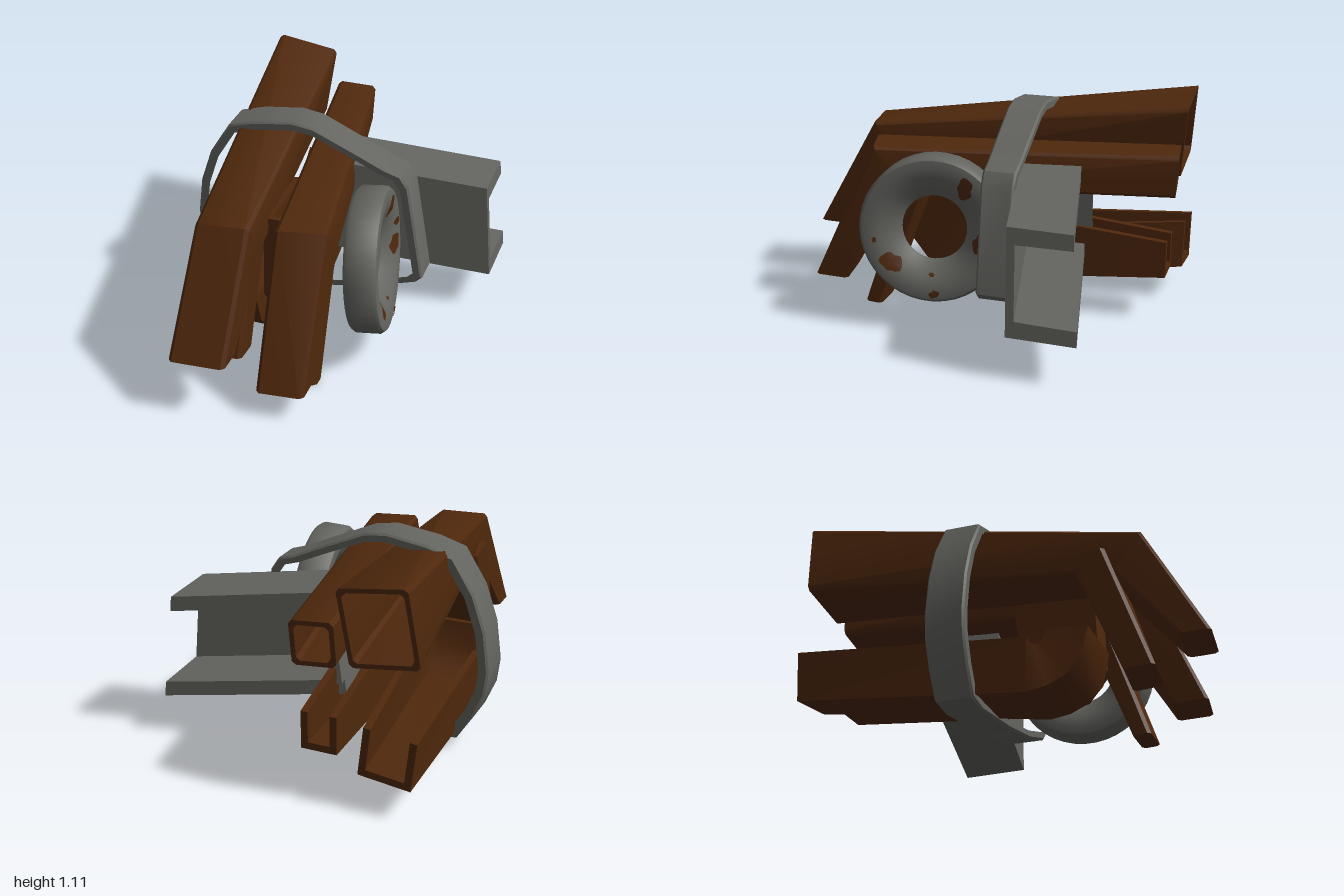
import * as THREE from 'three';
import { toCreasedNormals } from 'three/addons/utils/BufferGeometryUtils.js';

const rust = new THREE.MeshStandardMaterial({ color: 0x4f280c });
rust.name = 'rust brown';
const steel = new THREE.MeshStandardMaterial({ color: 0x646560 });
steel.name = 'steel grey';

// Cross-sections, listed counter-clockwise
const bar = (w, h, c = 0.018) => {
  const a = w / 2, b = h / 2;
  return [[a, -b + c], [a, b - c], [a - c, b], [-a + c, b], [-a, b - c], [-a, -b + c], [-a + c, -b], [a - c, -b]];
};
const channel = (w, h, t = 0.035) => {
  const a = w / 2, i = a - t;
  return [[-a, 0], [a, 0], [a, h], [i, h], [i, t], [-i, t], [-i, h], [-a, h]];
};

// Places a section at p = [x, y, z], pitched about x, rolled about z and sheared by yaw
function ring(section, p, pitch = 0, roll = 0, yaw = 0) {
  const side = new THREE.Vector3(Math.cos(roll), Math.sin(roll), yaw);
  const up = new THREE.Vector3(-Math.sin(roll), Math.cos(roll) * Math.cos(pitch), Math.cos(roll) * Math.sin(pitch));
  return {
    section,
    points: section.map(([u, v]) => new THREE.Vector3(...p).addScaledVector(side, u).addScaledVector(up, v)),
  };
}

// Skins the rings from back to front and caps both ends
function loft(rings) {
  const n = rings[0].points.length, pos = [], index = [];
  rings.forEach((r) => r.points.forEach((p) => pos.push(p.x, p.y, p.z)));
  for (let i = 0; i < rings.length - 1; i++) {
    for (let j = 0; j < n; j++) {
      const a = i * n + j, b = i * n + (j + 1) % n;
      index.push(a, b, a + n, b, b + n, a + n);
    }
  }
  const caps = THREE.ShapeUtils.triangulateShape(rings[0].section.map((s) => new THREE.Vector2(...s)), []);
  const last = (rings.length - 1) * n;
  caps.forEach(([a, b, c]) => index.push(a, c, b, last + a, last + b, last + c));
  const geo = new THREE.BufferGeometry();
  geo.setAttribute('position', new THREE.Float32BufferAttribute(pos, 3));
  geo.setIndex(index);
  return toCreasedNormals(geo, 0.65);
}

// Bent tube, open at the back: stations are { p, w, h, pitch, roll, yaw }
function finger(stations) {
  const [back, bend] = stations, wall = 0.045;
  const place = (s, gap) => ring(bar(s.w - gap, s.h - gap), s.p, s.pitch, s.roll, s.yaw);
  return loft([place(bend, wall), place(back, wall), ...stations.map((s) => place(s, 0))]);
}

export function createModel() {
  const model = new THREE.Group();
  const add = (name, geo, mat, parent = model) => {
    const mesh = new THREE.Mesh(geo, mat);
    mesh.name = name;
    parent.add(mesh);
    return mesh;
  };

  // Upper bent tubes
  add('largeBentTube', finger([
    { p: [-0.505, 0.91, -0.98], w: 0.34, h: 0.385, pitch: -0.08, roll: -0.14 },
    { p: [-0.3, 0.805, 0.59], w: 0.26, h: 0.25, pitch: 0.62, yaw: -0.13 },
    { p: [-0.32, 0.315, 0.915], w: 0.28, h: 0.15, pitch: 1.55, yaw: -0.09 },
  ]), rust);
  add('smallBentTube', finger([
    { p: [-0.19, 0.785, -0.98], w: 0.21, h: 0.22, pitch: -0.05, roll: -0.05, yaw: -0.1 },
    { p: [0.05, 0.78, 0.465], w: 0.24, h: 0.26, pitch: 0.7, yaw: -0.25 },
    { p: [0.055, 0.145, 0.785], w: 0.235, h: 0.18, pitch: 1.55, yaw: -0.12 },
  ]), rust);

  // Straight bars tucked behind the bent ends
  add('largeInnerBar', loft([
    ring(bar(0.29, 0.18), [-0.345, 0.8, 0.42], 1.4),
    ring(bar(0.27, 0.15), [-0.345, 0.17, 0.65], 1.5, 0, -0.1),
  ]), rust);
  add('smallInnerBar', loft([
    ring(bar(0.19, 0.12), [0.04, 0.75, 0.28], 1.3),
    ring(bar(0.19, 0.09), [0.045, 0.01, 0.55], 1.5),
  ]), rust);

  // Lower open channels that curl up at the front
  add('largeLowerChannel', loft([
    ring(channel(0.26, 0.245), [-0.54, 0.17, -0.99], 0, 0.12),
    ring(channel(0.36, 0.28), [-0.41, 0.07, 0.15], 0),
    ring(channel(0.36, 0.27), [-0.41, 0.085, 0.25], -0.35),
    ring(channel(0.36, 0.25), [-0.405, 0.13, 0.345], -0.75),
    ring(channel(0.36, 0.22), [-0.4, 0.21, 0.415], -1.1),
    ring(channel(0.34, 0.2), [-0.4, 0.37, 0.45], -1.5),
  ]), rust);
  add('smallLowerChannel', loft([
    ring(channel(0.18, 0.19), [-0.2, 0.235, -0.95], 0),
    ring(channel(0.2, 0.38), [-0.12, 0.17, 0.08], 0),
    ring(channel(0.2, 0.4), [-0.11, 0.22, 0.28], -0.6),
    ring(channel(0.2, 0.44), [-0.11, 0.36, 0.39], -1.2),
    ring(channel(0.2, 0.44), [-0.11, 0.8, 0.37], -1.6),
  ]), rust);

  // Strap looped round the bundle, wider on the right
  const loop = [[-0.77, 0.45], [-0.745, 0.65], [-0.685, 0.83], [-0.58, 1.0], [-0.45, 1.04], [-0.24, 1.07], [-0.13, 1.055],
    [0.12, 0.945], [0.25, 0.885], [0.33, 0.86], [0.37, 0.8], [0.46, 0.28], [0.43, 0.25], [0.2, 0.175], [-0.1, 0.115],
    [-0.5, 0.06], [-0.62, 0.075], [-0.7, 0.2], [-0.755, 0.33]].map((p) => new THREE.Vector2(...p));
  const strapShape = new THREE.Shape(loop);
  const middle = new THREE.Vector2(-0.15, 0.56);
  strapShape.holes.push(new THREE.Path(loop.map((p) => p.clone().sub(middle).multiplyScalar(0.935).add(middle))));
  const strapGeo = new THREE.ExtrudeGeometry(strapShape, {
    depth: 0.18, bevelEnabled: true, bevelSize: 0.01, bevelThickness: 0.01, bevelSegments: 1,
  });
  strapGeo.translate(0, 0, -0.275);
  const strapPos = strapGeo.attributes.position;
  for (let i = 0; i < strapPos.count; i++) {
    const z = strapPos.getZ(i);
    if (z > -0.19) strapPos.setZ(i, z - 0.028 * (strapPos.getX(i) + 0.78));
  }
  add('strap', toCreasedNormals(strapGeo, 0.65), steel);

  // Steel channel beam sticking out to the left, its free end cut at a slant
  const beam = new THREE.Group();
  beam.name = 'channelBeam';
  const axis = new THREE.Vector3(0.975, -0.12, -0.19).normalize();
  const up = new THREE.Vector3(0, 1, 0).addScaledVector(axis, -axis.y).normalize();
  const out = new THREE.Vector3().crossVectors(up, axis);
  beam.quaternion.setFromRotationMatrix(new THREE.Matrix4().makeBasis(out, up, axis));
  beam.position.set(-0.05, 0.58, -0.2);
  model.add(beam);
  const profile = [[0, -0.26], [0.335, -0.26], [0.335, -0.185], [0.04, -0.18], [0.04, 0.18], [0.31, 0.185], [0.31, 0.26], [0, 0.26]];
  const beamShape = new THREE.Shape(profile.map((p) => new THREE.Vector2(...p)));
  const beamGeo = new THREE.ExtrudeGeometry(beamShape, { depth: 0.825, bevelEnabled: false });
  const beamPos = beamGeo.attributes.position;
  for (let i = 0; i < beamPos.count; i++) {
    const z = beamPos.getZ(i);
    if (z > 0.4) beamPos.setZ(i, z - 0.21 * beamPos.getY(i) + 0.19 * beamPos.getX(i));
  }
  beamGeo.computeVertexNormals();
  add('beam', beamGeo, steel, beam);
  const plate = add('beamEndPlate', new THREE.BoxGeometry(0.36, 0.38, 0.03), steel, beam);
  plate.position.set(0.19, 0, 0.02);
  const rustStrip = add('rustUnderFlange', new THREE.BoxGeometry(0.21, 0.008, 0.68), rust, beam);
  rustStrip.position.set(0.17, 0.18, 0.42);

  // Dished wheel with a hole through it
  const wheel = new THREE.Group();
  wheel.name = 'wheel';
  wheel.position.set(0.285, 0.53, 0.15);
  wheel.quaternion.setFromUnitVectors(new THREE.Vector3(0, 1, 0), new THREE.Vector3(0.985, 0.08, -0.14).normalize());
  model.add(wheel);
  const face = [[0.372, 0.06], [0.357, 0.08], [0.32, 0.085], [0.27, 0.075], [0.21, 0.045], [0.165, 0.005]];
  const half = face.map(([r, h]) => new THREE.Vector2(r, h));
  const under = half.map((p) => new THREE.Vector2(p.x, -p.y));
  const outline = [...half.slice().reverse(), ...under, half[half.length - 1].clone()].reverse();
  add('wheelRim', toCreasedNormals(new THREE.LatheGeometry(outline, 40), 0.7), steel, wheel);

  // Rust patches lying on the dished face: [x, z, radius, stretch]
  const heightAt = (r) => {
    for (let i = 1; i < face.length; i++) {
      const [r0, h0] = face[i - 1], [r1, h1] = face[i];
      if (r >= r1) return h0 + (h1 - h0) * (r0 - Math.min(r, r0)) / (r0 - r1);
    }
    return face[face.length - 1][1];
  };
  [[-0.24, -0.13, 0.044, 1.15], [0.2, 0.18, 0.05, 1], [0.02, -0.245, 0.04, 1.2], [-0.1, -0.26, 0.026, 1],
    [0.32, -0.06, 0.025, 0.8], [0.23, -0.03, 0.012, 1], [0.1, 0.28, 0.012, 1]].forEach(([x, z, r, stretch]) => {
    const geo = new THREE.CircleGeometry(r, 20);
    geo.rotateX(-Math.PI / 2);
    const pos = geo.attributes.position;
    for (let i = 0; i < pos.count; i++) {
      const angle = Math.atan2(pos.getZ(i), pos.getX(i));
      const wobble = 1 + 0.2 * Math.sin(2 * angle + x * 20) + 0.1 * Math.sin(5 * angle);
      const px = x + pos.getX(i) * stretch * wobble, pz = z + pos.getZ(i) * wobble;
      pos.setXYZ(i, px, heightAt(Math.hypot(px, pz)) + 0.006, pz);
    }
    geo.computeVertexNormals();
    add('rustPatch', geo, rust, wheel);
  });

  return model;
}
